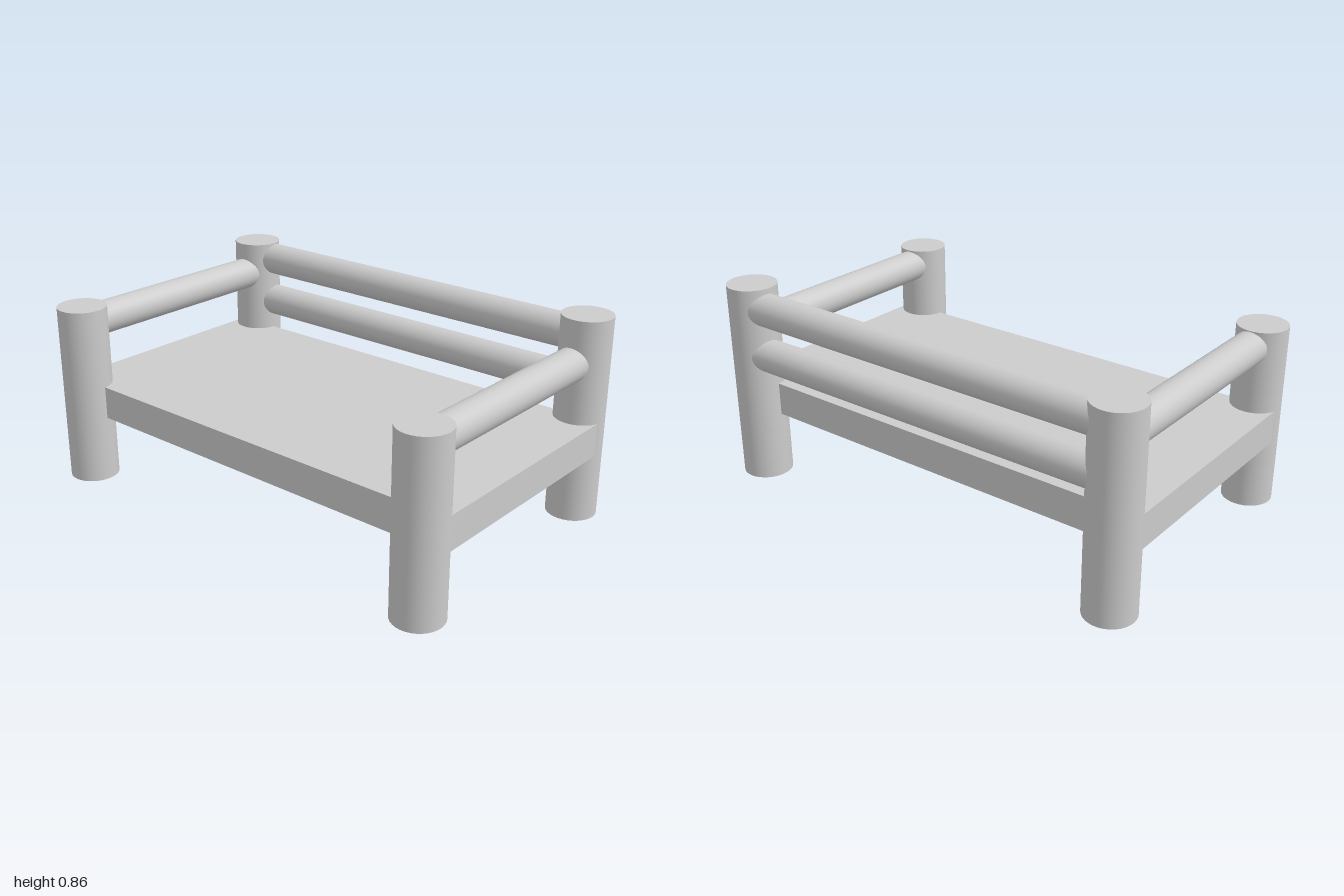
import * as THREE from 'three';

const POST_X = 0.895, POST_Z = 0.535, POST_R = 0.105, RAIL_R = 0.071;

export function createModel() {
  const group = new THREE.Group();
  const material = new THREE.MeshStandardMaterial({ color: 0xcccccc });

  const add = (name, geometry, x, y, z) => {
    const mesh = new THREE.Mesh(geometry, material);
    mesh.name = name;
    mesh.position.set(x, y, z);
    group.add(mesh);
    return mesh;
  };

  // Four log posts, each cut to a slightly different height
  const posts = [
    ['frontLeftPost', 1, 1, 0.75],
    ['frontRightPost', -1, 1, 0.775],
    ['backLeftPost', 1, -1, 0.86],
    ['backRightPost', -1, -1, 0.845],
  ];
  for (const [name, sx, sz, h] of posts) {
    add(name, new THREE.CylinderGeometry(POST_R, POST_R, h, 32), sx * POST_X, h / 2, sz * POST_Z);
  }

  // Thick seat slab set into the posts
  add('seat', new THREE.BoxGeometry(1.99, 0.142, 1.055), 0, 0.357, 0);

  // Two horizontal back rails
  const backRail = new THREE.CylinderGeometry(RAIL_R, RAIL_R, POST_X * 2, 32).rotateZ(Math.PI / 2);
  add('upperBackRail', backRail, 0, 0.766, -0.55);
  add('lowerBackRail', backRail, 0, 0.562, -0.55);

  // One arm rail per side
  const armRail = new THREE.CylinderGeometry(RAIL_R, RAIL_R, POST_Z * 2, 32).rotateX(Math.PI / 2);
  add('leftArmRail', armRail, 0.889, 0.673, 0);
  add('rightArmRail', armRail, -0.889, 0.7, 0);

  return group;
}
